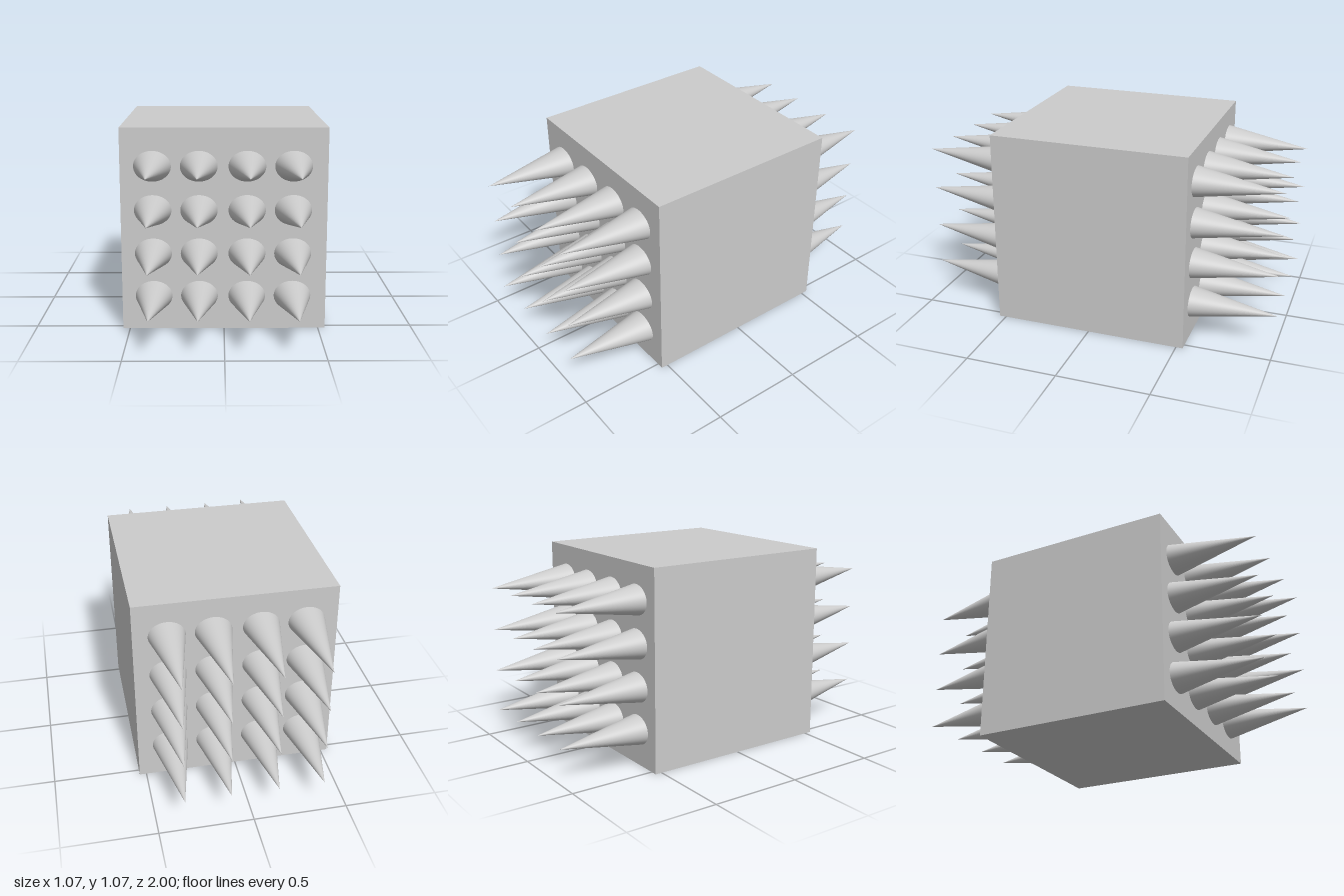
import * as THREE from 'three';

const SIZE = 1.074;          // edge of the cube
const FACE = SIZE / 2;
const EMBED = 0.02;          // depth the spikes sink into the cube
const COLUMNS = [-0.37, -0.13, 0.12, 0.36];

// Oval cone whose tip is the origin, pointing along +z, widening into the cube
function spikeGeometry() {
  const length = 1 - FACE + EMBED;
  const grow = length / (1 - FACE);
  const geo = new THREE.ConeGeometry(1, length, 64, 1);
  geo.translate(0, -length / 2, 0);
  geo.rotateX(Math.PI / 2);
  geo.scale(0.097 * grow, 0.08 * grow, 1);
  return geo;
}

export function createModel() {
  const model = new THREE.Group();
  model.name = 'spikedBlock';
  const material = new THREE.MeshStandardMaterial({ color: 0xcccccc });

  // Solid cube
  const block = new THREE.Mesh(new THREE.BoxGeometry(SIZE, SIZE, SIZE), material);
  block.name = 'block';
  block.position.y = FACE;
  model.add(block);

  // Four by four spikes on front and back, front ones tipped up, back ones down
  const geo = spikeGeometry();
  const sides = [
    { name: 'front', turn: 0, dir: 1, tilt: -0.036, tipY: 0.199 },
    { name: 'back', turn: Math.PI, dir: -1, tilt: 0.02, tipY: 0.186 },
  ];
  for (const { name, turn, dir, tilt, tipY } of sides) {
    const group = new THREE.Group();
    group.name = name + 'Spikes';
    for (let row = 0; row < 4; row++) {
      for (const x of COLUMNS) {
        const spike = new THREE.Mesh(geo, material);
        spike.name = name + 'Spike';
        spike.rotation.set(tilt, turn, 0, 'YXZ');
        spike.position.set(x, tipY + row * 0.231, dir);
        group.add(spike);
      }
    }
    model.add(group);
  }
  return model;
}
